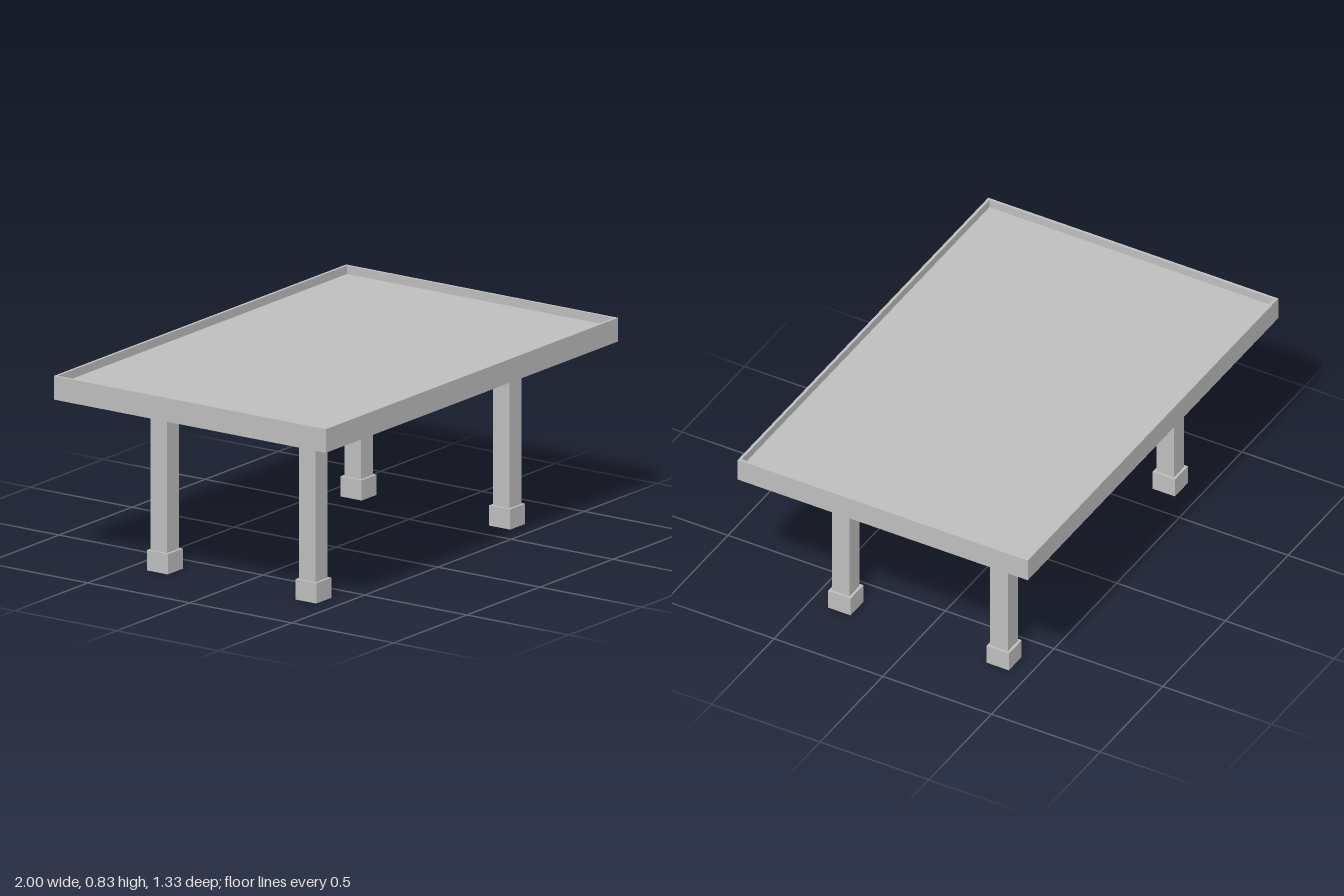
import * as THREE from 'three';

export function createModel() {
  const table = new THREE.Group();
  table.name = 'table';
  const grey = new THREE.MeshStandardMaterial({ color: 0xc0c0c0 });
  grey.name = 'light grey';

  const addBox = (name, w, h, d, x, bottom, z) => {
    const mesh = new THREE.Mesh(new THREE.BoxGeometry(w, h, d), grey);
    mesh.name = name;
    mesh.position.set(x, bottom + h / 2, z);
    table.add(mesh);
  };

  // Rim: a thin rectangular frame, standing proud of the panel above and below
  const hx = 1, hz = 0.667, t = 0.012, low = 0.732, high = 0.83;
  const corners = (x, z) => [[-x, -z], [x, -z], [x, z], [-x, z]].map(c => new THREE.Vector2(...c));
  const outline = new THREE.Shape(corners(hx, hz));
  outline.holes.push(new THREE.Path(corners(hx - t, hz - t).reverse()));
  const rimGeometry = new THREE.ExtrudeGeometry(outline, { depth: high - low, bevelEnabled: false });
  rimGeometry.rotateX(-Math.PI / 2);
  const rim = new THREE.Mesh(rimGeometry, grey);
  rim.name = 'rim';
  rim.position.y = low;
  table.add(rim);

  // Table panel, recessed inside the rim
  const under = 0.75;
  addBox('panel', 2 * (hx - t), 0.045, 2 * (hz - t), 0, under, 0);

  // Legs with wider square feet
  for (const x of [-0.663, 0.663]) {
    for (const z of [-0.364, 0.364]) {
      addBox('foot', 0.103, 0.084, 0.103, x, 0, z);
      addBox('leg', 0.081, under - 0.084, 0.081, x, 0.084, z);
    }
  }

  // Thin mounting plates in two rows under the panel
  for (const x of [-0.49, 0, 0.49]) {
    for (const z of [-0.335, 0.335]) addBox('mountingPlate', 0.125, 0.004, 0.06, x, under - 0.004, z);
  }
  return table;
}
